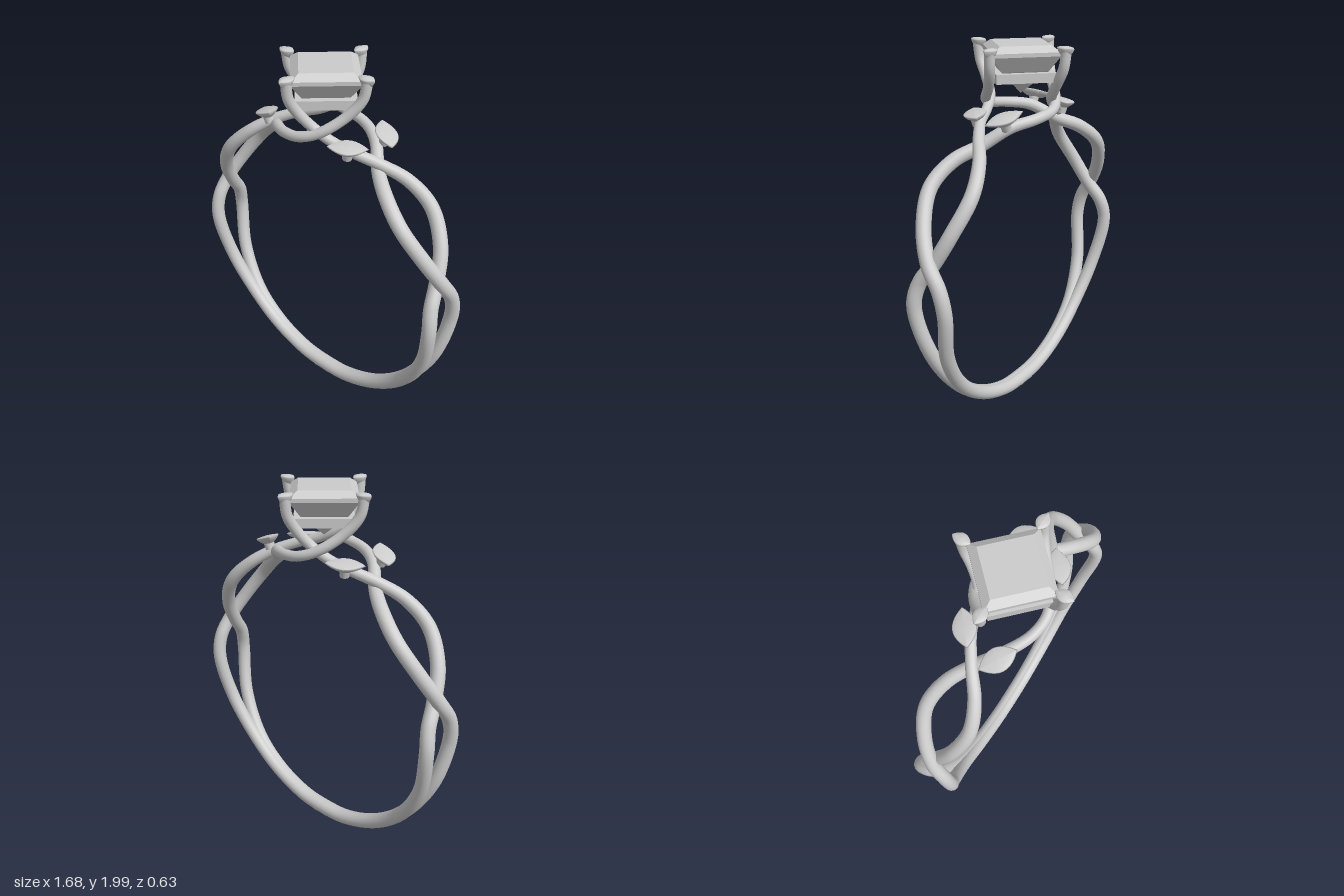
import * as THREE from 'three';

const V = (x, y, z) => new THREE.Vector3(x, y, z);
const metal = new THREE.MeshStandardMaterial({ color: 0xcccccc });
const faceted = new THREE.MeshStandardMaterial({ color: 0xcccccc, flatShading: true });

function add(parent, name, geometry, material = metal) {
  const mesh = new THREE.Mesh(geometry, material);
  mesh.name = name;
  parent.add(mesh);
  return mesh;
}

// Point on the band: degrees from the top towards +x, sideways z, radial offset
function onBand(deg, z, offset = 0) {
  const a = THREE.MathUtils.degToRad(deg), r = 0.797 + offset;
  return V(r * Math.sin(a), 0.838 + r * Math.cos(a), z);
}

// Tube that narrows along its length towards the prong
function taperedTube(points, r0, r1) {
  const n = 180, sides = 16;
  const curve = new THREE.CatmullRomCurve3(points);
  const geo = new THREE.TubeGeometry(curve, n, 1, sides);
  const pos = geo.attributes.position, p = V(0, 0, 0);
  for (let i = 0; i <= n; i++) {
    const c = curve.getPointAt(i / n);
    const r = THREE.MathUtils.lerp(r0, r1, THREE.MathUtils.smoothstep(i / n, 0.62, 0.85));
    for (let j = 0; j <= sides; j++) {
      const k = i * (sides + 1) + j;
      p.fromBufferAttribute(pos, k).sub(c).multiplyScalar(r).add(c);
      pos.setXYZ(k, p.x, p.y, p.z);
    }
  }
  return geo;
}

// Pointed oval with a slightly domed top and a bowl-shaped underside
function pointedOval(length, width, depth) {
  const profile = [[0, -1], [0.45, -0.85], [0.8, -0.4], [1, 0], [0.93, 0.14], [0.5, 0.24], [0, 0.28]];
  const geo = new THREE.LatheGeometry(profile.map(([r, y]) => new THREE.Vector2(r, y)), 32);
  const pos = geo.attributes.position;
  for (let i = 0; i < pos.count; i++) {
    const x = pos.getX(i), z = pos.getZ(i), r = Math.hypot(x, z) || 1;
    pos.setXYZ(i, x * length / 2, pos.getY(i) * depth, z * Math.abs(z / r) * width / 2);
  }
  geo.computeVertexNormals();
  return geo;
}

// Leaf lying along a direction, with a short stem down to the strand
function addLeaf(parent, centre, along, up) {
  const leaf = new THREE.Group();
  leaf.name = 'leaf';
  const x = along.clone().normalize();
  const z = x.clone().cross(up).normalize();
  leaf.quaternion.setFromRotationMatrix(new THREE.Matrix4().makeBasis(x, z.clone().cross(x), z));
  leaf.position.copy(centre);
  add(leaf, 'leafBlade', pointedOval(0.205, 0.12, 0.036));
  add(leaf, 'leafStem', new THREE.CylinderGeometry(0.03, 0.024, 0.05, 16)).position.y = -0.04;
  parent.add(leaf);
}

// Half of the ring; the other half is this one turned around the y axis
function createHalf() {
  const half = new THREE.Group();

  // Shared weave of the two strands: angle, z, radial offset
  const weave = [[184, 0.008, 0], [168, 0.008, 0], [150, 0.01, 0], [132, 0.02, 0], [112, 0.055, 0],
    [92, 0.095, 0], [83, 0.07, -0.012], [75, 0, -0.02], [63, -0.08, -0.008], [49, -0.125, 0],
    [37, -0.085, 0.01], [27, 0, 0.02]];
  const strand = (sign) => weave.map(([a, z, d]) => onBand(a, z * sign, d * sign));

  // Strand rising to the front prong
  add(half, 'frontProngStrand', taperedTube([...strand(1),
    V(0.25, 1.62, 0.075), V(0.14, 1.66, 0.115), V(0.06, 1.715, 0.15),
    V(0.015, 1.8, 0.21), V(0, 1.88, 0.255), V(0, 1.975, 0.27)], 0.038, 0.027));

  // Strand sweeping behind the stone to the opposite side prong
  add(half, 'sideProngStrand', taperedTube([...strand(-1),
    V(0.25, 1.61, -0.1), V(0.12, 1.64, -0.175), V(0, 1.66, -0.19), V(-0.1, 1.7, -0.15),
    V(-0.2, 1.79, -0.06), V(-0.255, 1.88, -0.012), V(-0.27, 1.975, 0)], 0.038, 0.027));

  // Prong heads
  const frontHead = add(half, 'prongHead', pointedOval(0.1, 0.066, 0.045));
  frontHead.position.set(0, 1.98, 0.264);
  frontHead.rotation.y = Math.PI / 2;
  add(half, 'prongHead', pointedOval(0.1, 0.066, 0.045)).position.set(-0.264, 1.98, 0);

  // Leaves
  addLeaf(half, V(0.31, 1.672, -0.11), V(0.17, -0.06, 0.12), V(0.2, 1, -0.1));
  addLeaf(half, V(0.25, 1.657, 0.11), V(0.16, -0.01, -0.13), V(0.1, 1, 0.15));
  return half;
}

export function createModel() {
  const ring = new THREE.Group();
  ring.name = 'ring';

  for (let i = 0; i < 2; i++) {
    const half = createHalf();
    half.name = i ? 'leftHalf' : 'rightHalf';
    half.rotation.y = i * Math.PI;
    ring.add(half);
  }

  // Square step-cut stone with its corners on the axes
  const cut = [[0, 1.73], [0.17, 1.86], [0.24, 1.94], [0.24, 1.96], [0.185, 1.99], [0, 1.99]];
  add(ring, 'stone', new THREE.LatheGeometry(cut.map(([r, y]) => new THREE.Vector2(r, y)), 4), faceted);

  // Square rail under the stone
  const rail = [[0.215, 1.808], [0.215, 1.856], [0.155, 1.856], [0.155, 1.808], [0.215, 1.808]];
  add(ring, 'rail', new THREE.LatheGeometry(rail.map(([r, y]) => new THREE.Vector2(r, y)), 4), faceted);

  return ring;
}
